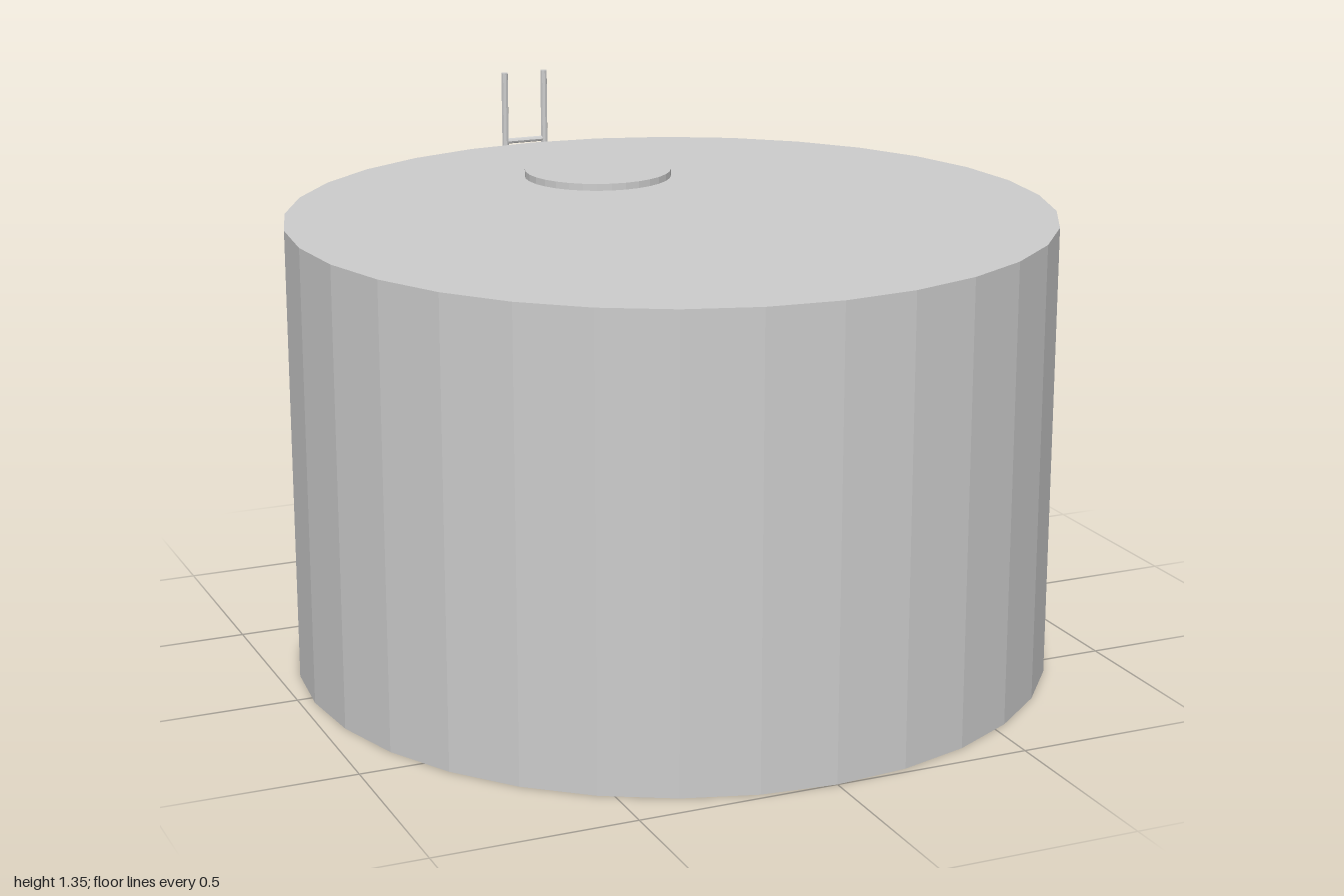
import * as THREE from 'three';

export function createModel() {
  const group = new THREE.Group();
  const material = new THREE.MeshStandardMaterial({ color: 0xcccccc, flatShading: true });

  // Cylinder centred on a point, its length along the given axis
  function rod(name, radius, length, sides, [x, y, z], axis = 'y') {
    const geometry = new THREE.CylinderGeometry(radius, radius, length, sides);
    if (axis === 'x') geometry.rotateZ(Math.PI / 2);
    if (axis === 'z') geometry.rotateX(Math.PI / 2);
    const mesh = new THREE.Mesh(geometry, material);
    mesh.name = name;
    mesh.position.set(x, y, z);
    return mesh;
  }

  // Tank body and roof hatch
  const tankHeight = 1.16, tankRadius = 0.965, tankZ = 0.035;
  group.add(rod('tankBody', tankRadius, tankHeight, 32, [0, tankHeight / 2, tankZ]));
  group.add(rod('roofHatch', 0.193, 0.018, 32, [0, tankHeight + 0.009, -0.45]));

  // Ladder on the back wall
  const ladder = new THREE.Group();
  ladder.name = 'ladder';
  const ladderHeight = 1.35, ladderZ = -0.99, railX = 0.058;
  const rungStep = ladderHeight / 7;
  for (const side of [-1, 1]) {
    ladder.add(rod(side > 0 ? 'leftRail' : 'rightRail', 0.0095, ladderHeight, 8,
      [side * railX, ladderHeight / 2, ladderZ]));
  }
  for (let i = 1; i <= 6; i++) {
    ladder.add(rod('rung' + i, 0.0075, railX * 2, 8, [0, i * rungStep, ladderZ], 'x'));
  }

  // Brackets joining two of the rungs to the wall
  for (const i of [2, 5]) {
    ladder.add(rod('wallBracket', 0.0085, 0.064, 8, [0, i * rungStep, -0.958], 'z'));
  }
  group.add(ladder);

  return group;
}
